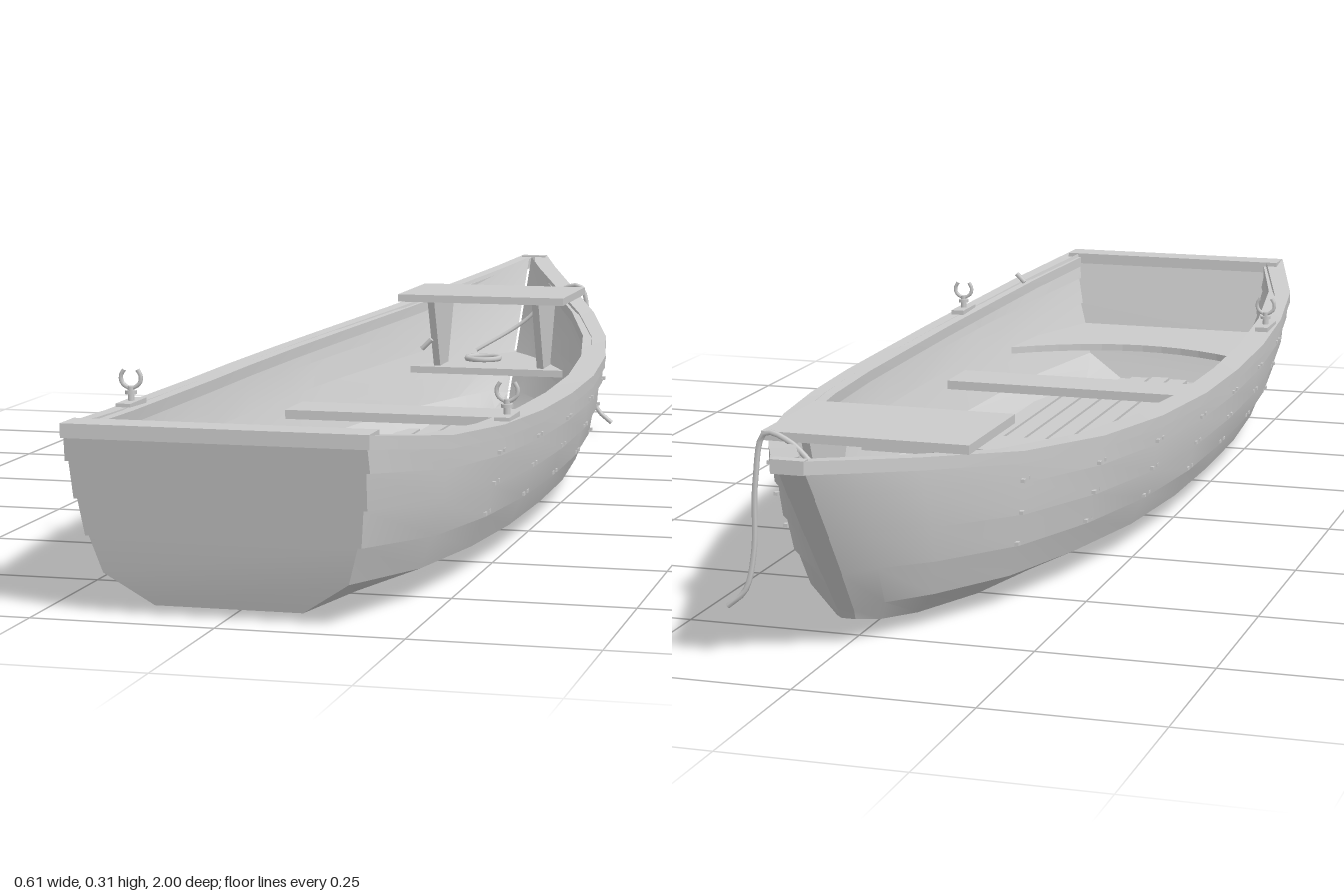
import * as THREE from 'three';
import { toCreasedNormals } from 'three/addons/utils/BufferGeometryUtils.js';

const material = new THREE.MeshStandardMaterial({ color: 0xcccccc });

// Stations from stern to bow: [z, halfWidth, y] at the sheer, the chine and the bottom edge
const STATIONS = [
  [[1, .2, .255], [.955, .165, .055], [.94, .1, .012]],
  [[.8, .258, .228], [.78, .215, .045], [.77, .125, .008]],
  [[.6, .284, .214], [.59, .24, .04], [.58, .145, .005]],
  [[.4, .297, .207], [.4, .253, .037], [.4, .156, .002]],
  [[.2, .3, .204], [.2, .256, .036], [.2, .16, 0]],
  [[0, .296, .205], [0, .252, .036], [0, .158, 0]],
  [[-.2, .278, .21], [-.2, .235, .038], [-.2, .15, .001]],
  [[-.4, .243, .22], [-.39, .2, .042], [-.38, .128, .005]],
  [[-.6, .185, .238], [-.56, .155, .046], [-.54, .1, .01]],
  [[-.8, .102, .268], [-.7, .09, .052], [-.68, .06, .018]],
  [[-.92, .05, .288], [-.77, .045, .056], [-.75, .032, .026]],
  [[-1, .018, .302], [-.8, .012, .05], [-.79, .01, .035]],
];
const PLANKS = 4;

// One half of a cross-section from sheer to bottom, with a lap at each plank
function halfSection([sheer, chine, bottom], inner) {
  const inset = inner ? .016 : 0, lap = inner ? -.004 : .005;
  const zScale = inner ? .955 : 1, lift = inner ? .015 : 0;
  const points = [];
  const add = (z, w, y) => points.push(new THREE.Vector3(Math.max(w - inset, .002), y, z * zScale));
  const onSide = (t, out) => {
    const [z, w, y] = chine.map((c, i) => THREE.MathUtils.lerp(c, sheer[i], t));
    const fade = Math.min(1, w / .1);
    add(z, w + (out + .032 * t * (1 - t)) * fade, y + lift * (1 - t));
  };
  for (let k = PLANKS - 1; k >= 0; k--) {
    onSide((k + 1) / PLANKS, 0);
    onSide(k / PLANKS, k ? lap : 0);
  }
  add(bottom[0], bottom[1], bottom[2] + lift);
  return points;
}

const mirrored = (p) => new THREE.Vector3(-p.x, p.y, p.z);
const fullSection = (half) => [...half, ...half.map(mirrored).reverse()];

// Surface through rows of points
function loft(rows, flip = false) {
  const positions = [];
  const triangle = (a, b, c) => (flip ? [a, c, b] : [a, b, c]).forEach((p) => positions.push(p.x, p.y, p.z));
  for (let i = 0; i < rows.length - 1; i++) {
    for (let j = 0; j < rows[i].length - 1; j++) {
      const a = rows[i][j], b = rows[i][j + 1], c = rows[i + 1][j + 1], d = rows[i + 1][j];
      triangle(a, b, c);
      triangle(a, c, d);
    }
  }
  const geometry = new THREE.BufferGeometry();
  geometry.setAttribute('position', new THREE.Float32BufferAttribute(positions, 3));
  return toCreasedNormals(geometry, .4);
}

export function createModel() {
  const boat = new THREE.Group();
  boat.name = 'rowingBoat';

  function add(name, geometry, x = 0, y = 0, z = 0, parent = boat) {
    const mesh = new THREE.Mesh(geometry, material);
    mesh.name = name;
    mesh.position.set(x, y, z);
    parent.add(mesh);
    return mesh;
  }
  const box = (name, w, h, d, x, y, z, parent) => add(name, new THREE.BoxGeometry(w, h, d), x, y, z, parent);

  // Flat board cut from an outline in x and z, with its top at y
  function board(name, shape, y, thickness) {
    const geometry = new THREE.ExtrudeGeometry(shape, { depth: thickness, bevelEnabled: false, curveSegments: 12 });
    return add(name, geometry.rotateX(Math.PI / 2), 0, y, 0);
  }

  // Planked shell, inside and outside, closed at transom and stem
  const outer = STATIONS.map((s) => halfSection(s, false));
  const inner = STATIONS.map((s) => halfSection(s, true));
  const across = (half) => half.map((p) => [p, mirrored(p)]);
  add('outerHull', loft(outer.map(fullSection)));
  add('innerHull', loft(inner.map(fullSection), true));
  add('transom', loft(across(outer[0])));
  add('transomInside', loft(across(inner[0]), true));
  add('stem', loft(across(outer.at(-1)), true));

  // Gunwales
  for (const side of [1, -1]) {
    const rows = STATIONS.map(([[z, w, y]]) => {
      const o = side * (w + .005), i = side * Math.max(w - .035, 0);
      return [[o, y], [o, y - .018], [i, y - .018], [i, y], [o, y]].map(([px, py]) => new THREE.Vector3(px, py, z));
    });
    add(side > 0 ? 'leftGunwale' : 'rightGunwale', loft(rows, side < 0));
  }
  box('transomRail', .408, .019, .05, 0, .246, .975);
  box('stemCap', .046, .019, .016, 0, .2925, -.992);

  // Floor boards, shorter towards the sides
  const floor = new THREE.Group();
  floor.name = 'floorBoards';
  boat.add(floor);
  for (let k = -4; k <= 4; k++) {
    const x = k * .0375;
    const bow = -.62 + 12 * x * x, stern = .88 - 8 * x * x;
    box('floorBoard', .032, .01, stern - bow, x, .032, (bow + stern) / 2, floor);
  }

  // Rowing benches
  box('middleBench', .44, .015, .1, 0, .1175, -.1);
  box('rearBench', .48, .015, .095, 0, .1175, .378);

  // Stern seat with a curved front edge
  const seat = new THREE.Shape();
  seat.moveTo(-.225, .65);
  seat.quadraticCurveTo(0, .83, .225, .65);
  seat.lineTo(.212, .78);
  seat.lineTo(.172, .93);
  seat.lineTo(-.172, .93);
  seat.lineTo(-.212, .78);
  board('sternSeat', seat, .125, .012);

  // Low bow seat
  const bowSeat = new THREE.Shape();
  bowSeat.moveTo(-.14, -.57);
  bowSeat.lineTo(-.015, -.84);
  bowSeat.lineTo(.015, -.84);
  bowSeat.lineTo(.14, -.57);
  board('bowSeat', bowSeat, .135, .012);

  // Raised bow bench on two tapered brackets
  box('bowBench', .3, .013, .205, 0, .2635, -.62);
  const bracket = new THREE.Shape();
  bracket.moveTo(-.7, .258);
  bracket.lineTo(-.65, .133);
  bracket.lineTo(-.59, .133);
  bracket.lineTo(-.54, .258);
  for (const side of [1, -1]) {
    const geometry = new THREE.ExtrudeGeometry(bracket, { depth: .012, bevelEnabled: false });
    add('bowBenchBracket', geometry.rotateY(-Math.PI / 2), side * .095 + .006, 0, 0);
  }

  // Oarlocks
  for (const side of [1, -1]) {
    const oarlock = new THREE.Group();
    oarlock.name = side > 0 ? 'leftOarlock' : 'rightOarlock';
    oarlock.position.set(side * .277, .21, .53);
    boat.add(oarlock);
    box('oarlockPlate', .022, .008, .07, 0, .004, 0, oarlock);
    add('oarlockPin', new THREE.CylinderGeometry(.005, .005, .026, 8), 0, .016, 0, oarlock);
    add('oarlockCollar', new THREE.CylinderGeometry(.009, .009, .005, 8), 0, .02, 0, oarlock);
    const horns = new THREE.CatmullRomCurve3([
      [-.01, .053], [-.015, .044], [-.013, .033], [0, .026], [.013, .033], [.015, .044], [.01, .053],
    ].map(([x, y]) => new THREE.Vector3(x, y, 0)));
    add('oarlockHorns', new THREE.TubeGeometry(horns, 16, .0032, 6), 0, 0, 0, oarlock);
  }

  // Mooring rope over the side, and its coil on the bow seat
  const ropePath = new THREE.CatmullRomCurve3([
    [-.05, .15, -.71], [.03, .2, -.745], [.1, .262, -.742], [.14, .27, -.735],
    [.155, .2, -.735], [.16, .1, -.733], [.173, .045, -.735], [.2, .02, -.735],
  ].map((p) => new THREE.Vector3(...p)));
  add('mooringRope', new THREE.TubeGeometry(ropePath, 40, .004, 6));
  add('ropeCoil', new THREE.TorusGeometry(.03, .005, 6, 20).rotateX(Math.PI / 2), -.03, .14, -.68);

  // Small loose peg
  const peg = add('loosePeg', new THREE.CylinderGeometry(.004, .004, .02, 6), .132, .298, .41);
  peg.rotation.z = -.8;

  // Rivets along the plank laps
  const rivets = new THREE.Group();
  rivets.name = 'rivets';
  boat.add(rivets);
  for (const i of [2, 3, 4, 5, 6, 7, 8]) {
    for (const j of [1, 3, 5]) {
      const p = outer[i][j];
      for (const side of [1, -1]) {
        for (const dz of [-.012, .012]) box('rivet', .006, .005, .008, side * p.x, p.y + .006, p.z + dz, rivets);
      }
    }
  }
  return boat;
}
